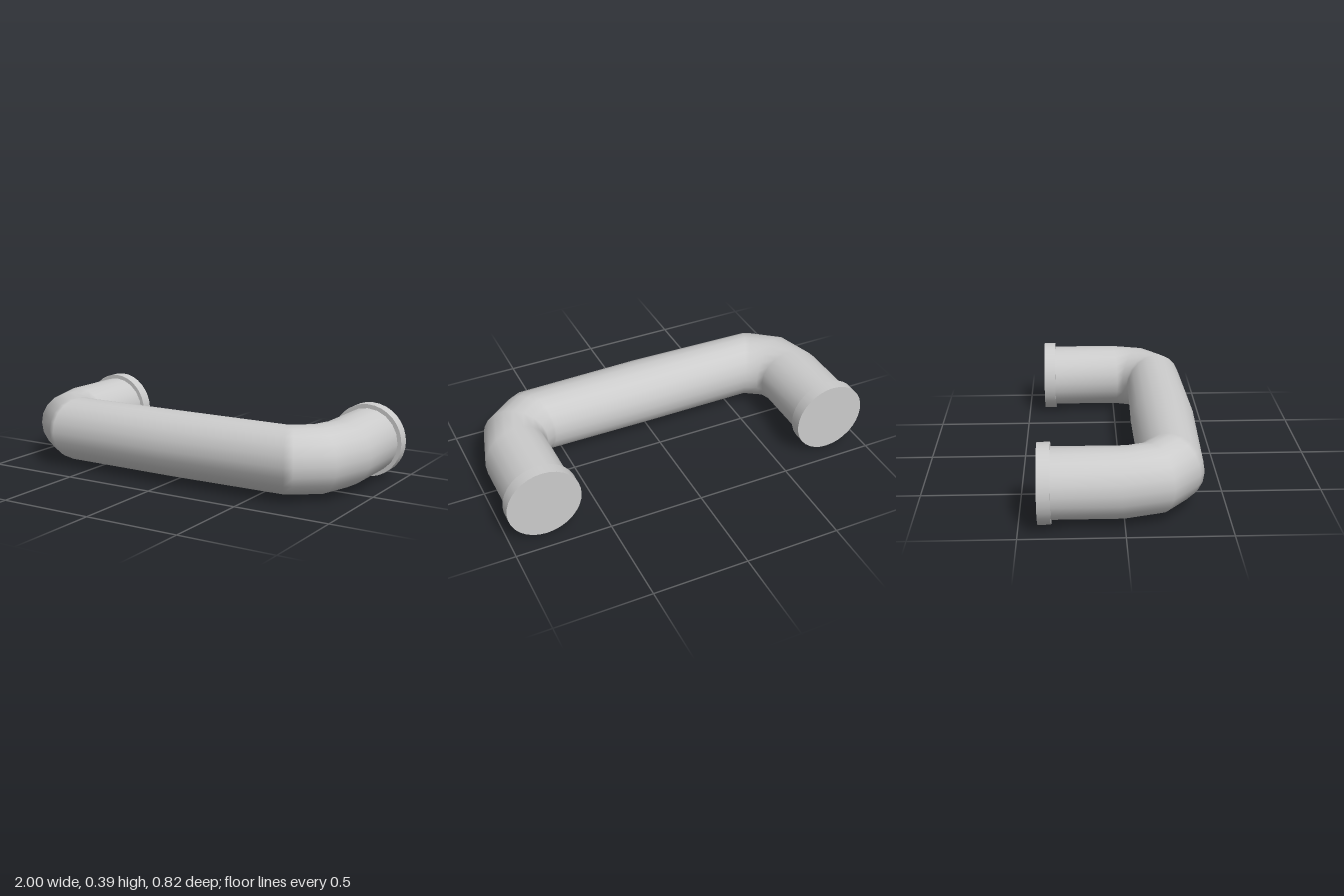
import * as THREE from 'three';

const SIDES = 20, RADIUS = 0.172, AXIS_Y = 0.195, LEG_X = 0.807;

// Half of the pipe: each ring is [outer x, outer z, inner x, inner z]
const HALF = [
  [-0.979, -0.37, -0.635, -0.37],
  [-0.979, -0.016, -0.635, 0.02],
  [-0.909, 0.23, -0.617, 0.048],
  [-0.743, 0.364, -0.575, 0.069],
  [-0.7, 0.387, -0.561, 0.077],
];

function pipeGeometry() {
  // Left and right halves mirror about the middle ring
  const mirrored = HALF.map(([ox, oz, ix, iz]) => [-ox, oz, -ix, iz]).reverse();
  const rings = [...HALF, [0, 0.408, 0, 0.068], ...mirrored];
  const positions = [], index = [];
  rings.forEach(([ox, oz, ix, iz], i) => {
    for (let j = 0; j < SIDES; j++) {
      const a = (j / SIDES) * Math.PI * 2, c = Math.cos(a);
      positions.push(
        (ox + ix) / 2 + ((ox - ix) / 2) * c,
        AXIS_Y + RADIUS * Math.sin(a),
        (oz + iz) / 2 + ((oz - iz) / 2) * c
      );
      if (i < rings.length - 1) {
        const k = (j + 1) % SIDES, p = i * SIDES, q = p + SIDES;
        index.push(p + j, q + j, q + k, p + j, q + k, p + k);
      }
    }
  });
  const geometry = new THREE.BufferGeometry();
  geometry.setAttribute('position', new THREE.Float32BufferAttribute(positions, 3));
  geometry.setIndex(index);
  geometry.computeVertexNormals();
  return geometry;
}

export function createModel() {
  const group = new THREE.Group();
  group.name = 'pullHandle';
  const material = new THREE.MeshStandardMaterial({ color: 0xcccccc });

  // Bent grip with both legs
  const grip = new THREE.Mesh(pipeGeometry(), material);
  grip.name = 'grip';
  group.add(grip);

  // Round mounting flanges at the back of the legs
  const flangeGeometry = new THREE.CylinderGeometry(0.193, 0.193, 0.063, 32);
  flangeGeometry.rotateX(Math.PI / 2);
  for (const [name, side] of [['leftFlange', 1], ['rightFlange', -1]]) {
    const flange = new THREE.Mesh(flangeGeometry, material);
    flange.name = name;
    flange.position.set(side * LEG_X, AXIS_Y, -0.3765);
    group.add(flange);
  }
  return group;
}
